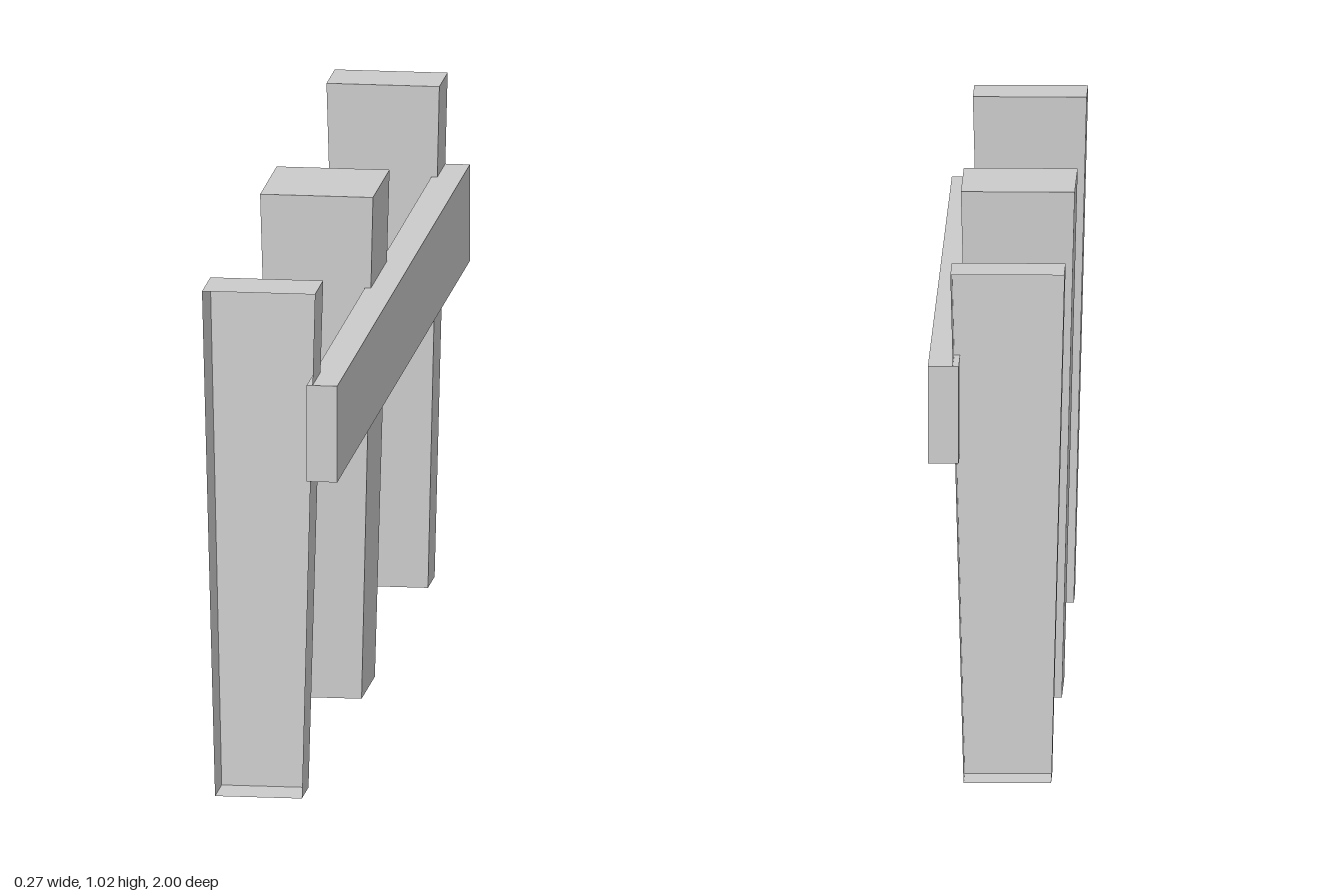
import * as THREE from 'three';

const HEIGHT = 1.022;
const POST_X = -0.023;
const TOP = { x: 0.1125, z: 0.125 };    // half sizes of a post at its top
const BOTTOM = { x: 0.0865, z: 0.1 };   // and at its foot

// Tapered post; a half post is cut through its middle and left open on +z
function postGeometry(half) {
  const box = new THREE.BoxGeometry(2, HEIGHT, 2);
  box.translate(0, HEIGHT / 2, 0);
  const p = box.attributes.position;
  for (let i = 0; i < p.count; i++) {
    const size = p.getY(i) > HEIGHT / 2 ? TOP : BOTTOM;
    const z = half && p.getZ(i) > 0 ? 0 : p.getZ(i);
    p.setX(i, p.getX(i) * size.x);
    p.setZ(i, z * size.z);
  }
  if (half) {
    // drop the two triangles of the +z face
    const index = Array.from(box.index.array);
    index.splice(24, 6);
    box.setIndex(index);
  }
  const geometry = box.toNonIndexed();
  geometry.clearGroups();
  geometry.computeVertexNormals();
  return geometry;
}

export function createModel() {
  const model = new THREE.Group();
  model.name = 'fenceSection';
  const solid = new THREE.MeshStandardMaterial({ color: 0xcccccc, flatShading: true });
  const open = new THREE.MeshStandardMaterial({
    color: 0xcccccc, flatShading: true, side: THREE.DoubleSide,
  });

  // Full post in the middle
  const middlePost = new THREE.Mesh(postGeometry(false), solid);
  middlePost.name = 'middlePost';
  middlePost.position.x = POST_X;
  model.add(middlePost);

  // Open half posts at both ends, so that sections join up
  const halfPost = postGeometry(true);
  for (const side of [1, -1]) {
    const post = new THREE.Mesh(halfPost, open);
    post.name = side > 0 ? 'frontHalfPost' : 'backHalfPost';
    post.position.set(POST_X, 0, side);
    post.rotation.y = side > 0 ? 0 : Math.PI;
    model.add(post);
  }

  // Rail running along the posts
  const rail = new THREE.Mesh(new THREE.BoxGeometry(0.061, 0.195, 2), solid);
  rail.name = 'rail';
  rail.position.set(0.1035, 0.74, 0);
  model.add(rail);

  return model;
}
